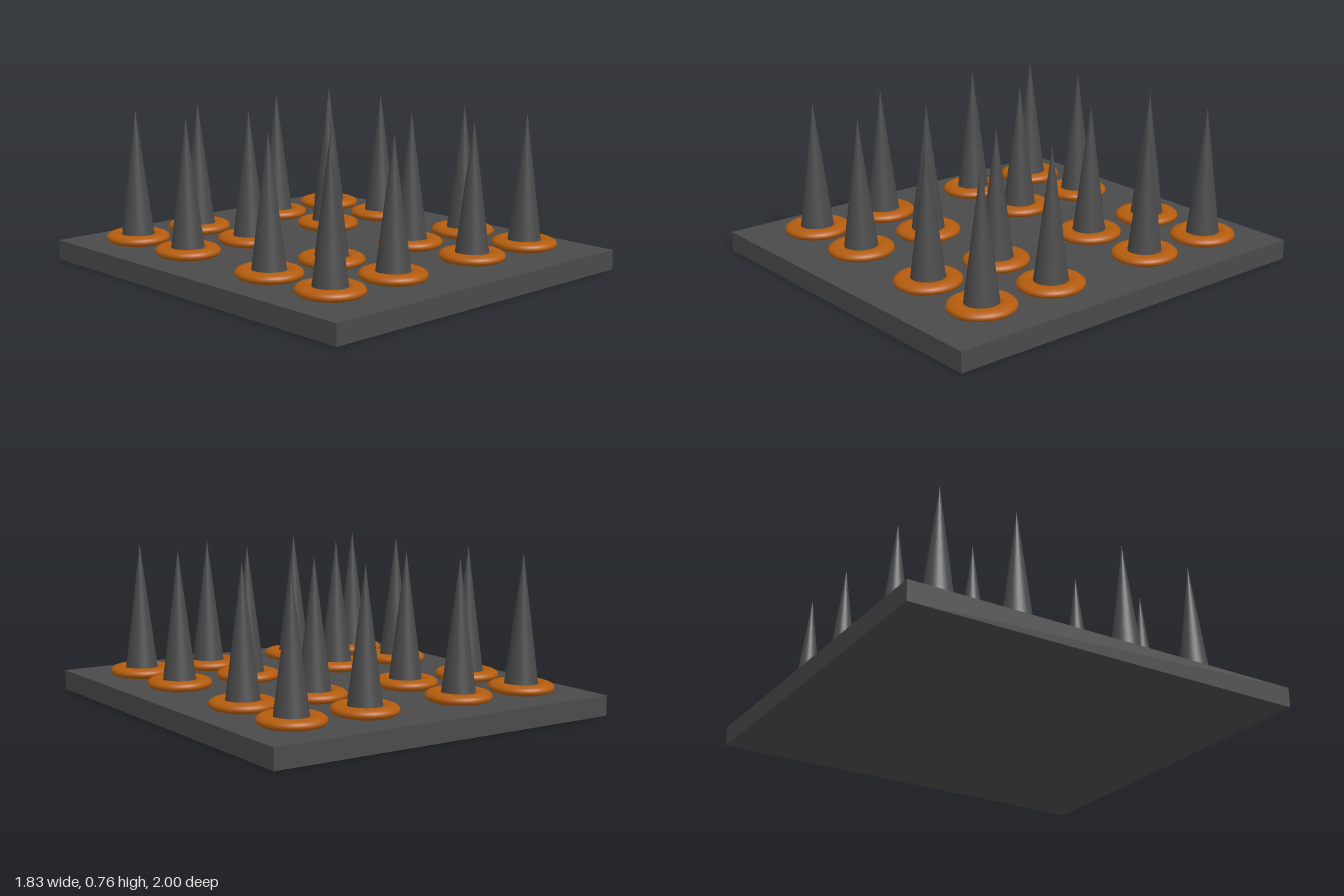
import * as THREE from 'three';

export function createModel() {
  const model = new THREE.Group();
  const darkGrey = new THREE.MeshStandardMaterial({ name: 'dark grey', color: 0x4a4a4a });
  const orange = new THREE.MeshStandardMaterial({ name: 'burnt orange', color: 0xb35c0e });

  // Flat slab the spikes stand on
  const slabHeight = 0.097;
  const base = new THREE.Mesh(new THREE.BoxGeometry(1.826, slabHeight, 2), darkGrey);
  base.name = 'base';
  base.position.y = slabHeight / 2;
  model.add(base);

  // Sharp cone, slightly longer in z
  const spikeHeight = 0.66;
  const spikeGeometry = new THREE.ConeGeometry(0.083, spikeHeight, 32);
  spikeGeometry.scale(1, 1, 1.045);
  spikeGeometry.translate(0, slabHeight + spikeHeight / 2, 0);

  // Flattened ring around the foot of each spike
  const ringGeometry = new THREE.TorusGeometry(0.11, 0.043, 16, 48);
  ringGeometry.rotateX(-Math.PI / 2);
  ringGeometry.scale(1, 0.025 / 0.043, 1.05);
  ringGeometry.translate(0, slabHeight + 0.025, 0);

  // Four by four grid, in four clusters
  for (const x of [-0.642, -0.262, 0.262, 0.642]) {
    for (const z of [-0.709, -0.31, 0.278, 0.674]) {
      const post = new THREE.Group();
      post.name = 'spikeWithRing';
      const spike = new THREE.Mesh(spikeGeometry, darkGrey);
      spike.name = 'spike';
      const ring = new THREE.Mesh(ringGeometry, orange);
      ring.name = 'ring';
      post.add(spike, ring);
      post.position.set(x, 0, z);
      model.add(post);
    }
  }
  return model;
}
